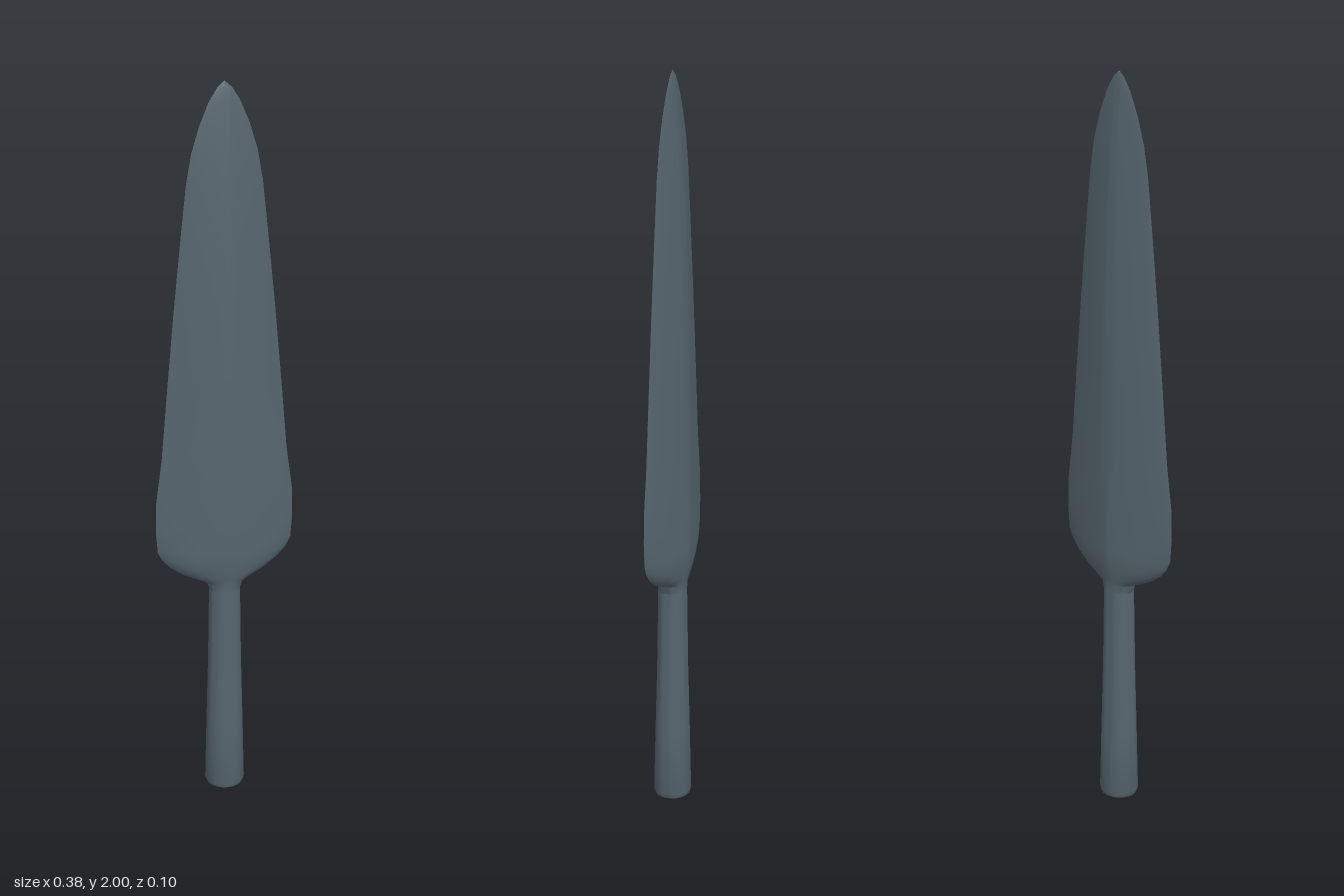
import * as THREE from 'three';
import { toCreasedNormals } from 'three/addons/utils/BufferGeometryUtils.js';

const SIDES = 32;

// Loft superellipse rings [y, halfWidth, halfDepth, power]; power 2 is round, near 1 is a diamond
function loft(rings) {
  const pos = [], index = [];
  const pow = (v, e) => Math.sign(v) * Math.pow(Math.abs(v), e);
  for (const [y, a, b, p] of rings) {
    for (let i = 0; i < SIDES; i++) {
      const t = (i / SIDES) * Math.PI * 2;
      let c = Math.cos(t), s = Math.sin(t);
      if (Math.abs(c) < 1e-9) c = 0;
      if (Math.abs(s) < 1e-9) s = 0;
      pos.push(a * pow(c, 2 / p), y, b * pow(s, 2 / p));
    }
  }
  for (let r = 0; r < rings.length - 1; r++) {
    for (let i = 0; i < SIDES; i++) {
      const j = (i + 1) % SIDES;
      const A = r * SIDES + i, B = r * SIDES + j;
      index.push(A, A + SIDES, B, B, A + SIDES, B + SIDES);
    }
  }
  const g = new THREE.BufferGeometry();
  g.setAttribute('position', new THREE.Float32BufferAttribute(pos, 3));
  g.setIndex(index);
  return toCreasedNormals(g, 0.6);
}

export function createModel() {
  const group = new THREE.Group();
  group.name = 'spearhead';
  const steel = new THREE.MeshStandardMaterial({ color: 0x56656e });
  steel.name = 'dark steel';
  const add = (name, rings) => {
    const mesh = new THREE.Mesh(loft(rings), steel);
    mesh.name = name;
    group.add(mesh);
  };

  // Round socket, closed at the bottom
  add('socket', [
    [0.01, 0.0001, 0.0001, 2],
    [0.005, 0.035, 0.035, 2],
    [0.012, 0.048, 0.046, 2],
    [0.025, 0.054, 0.05, 2],
    [0.2, 0.05, 0.046, 2],
    [0.4, 0.045, 0.041, 2],
    [0.61, 0.042, 0.038, 2],
  ]);

  // Leaf blade with a central ridge and rounded shoulders
  add('blade', [
    [0.61, 0.042, 0.038, 2],
    [0.633, 0.05, 0.038, 1.9],
    [0.645, 0.078, 0.04, 1.7],
    [0.66, 0.112, 0.043, 1.55],
    [0.685, 0.148, 0.047, 1.4],
    [0.71, 0.17, 0.05, 1.28],
    [0.735, 0.183, 0.051, 1.2],
    [0.8, 0.188, 0.051, 1.15],
    [0.88, 0.186, 0.049, 1.15],
    [1.0, 0.17, 0.047, 1.15],
    [1.2, 0.153, 0.044, 1.15],
    [1.4, 0.135, 0.04, 1.15],
    [1.6, 0.115, 0.033, 1.15],
    [1.74, 0.1, 0.026, 1.15],
    [1.82, 0.086, 0.02, 1.15],
    [1.89, 0.065, 0.014, 1.15],
    [1.95, 0.04, 0.008, 1.15],
    [1.985, 0.018, 0.004, 1.15],
    [2.0, 0.0005, 0.0005, 1.15],
  ]);
  return group;
}
